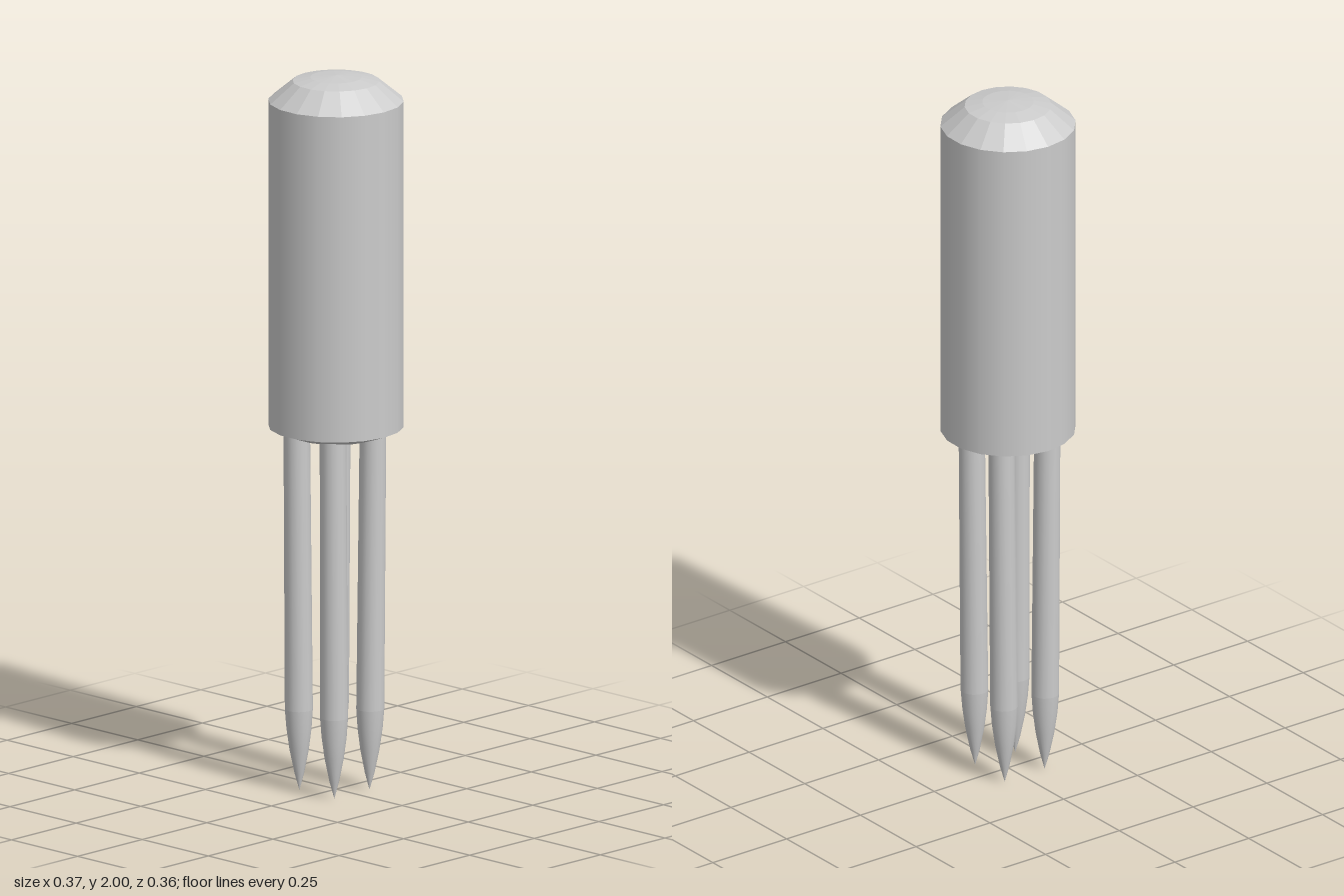
import * as THREE from 'three';

const SIDES = 18;
const smooth = new THREE.MeshStandardMaterial({ color: 0xcccccc });
const faceted = new THREE.MeshStandardMaterial({ color: 0xcccccc, flatShading: true });

// Revolve [radius, y] pairs listed from bottom to top
function lathe(name, points, sides, material) {
  const profile = points.map(([r, y]) => new THREE.Vector2(r, y));
  const mesh = new THREE.Mesh(new THREE.LatheGeometry(profile, sides, Math.PI / 2 - 0.015), material);
  mesh.name = name;
  return mesh;
}

// Straight shaft that leans slightly, with a curved point at the bottom
function makeProng(name, tip, top) {
  const group = new THREE.Group();
  group.name = name;
  const shaft = lathe('prongShaft', [[0.038, 0.23], [0.036, 1.01]], 16, smooth);
  const point = lathe('prongTip', [[0, 0.003], [0.013, 0.05], [0.026, 0.115], [0.034, 0.175], [0.038, 0.23]], 16, smooth);
  for (const part of [shaft, point]) {
    const pos = part.geometry.attributes.position;
    for (let i = 0; i < pos.count; i++) {
      const t = pos.getY(i);
      pos.setX(i, pos.getX(i) + THREE.MathUtils.lerp(tip[0], top[0], t));
      pos.setZ(i, pos.getZ(i) + THREE.MathUtils.lerp(tip[1], top[1], t));
    }
    group.add(part);
  }
  return group;
}

export function createModel() {
  const model = new THREE.Group();
  model.name = 'prongedCylinder';

  // Handle: smooth barrel closed by faceted caps
  model.add(lathe('barrel', [[0.184, 1.02], [0.184, 1.93]], SIDES, smooth));
  model.add(lathe('topDome', [[0.184, 1.93], [0.118, 1.985], [0.07, 1.995], [0, 2]], SIDES, faceted));
  model.add(lathe('bottomCap', [[0, 0.974], [0.035, 0.976], [0.118, 0.996], [0.184, 1.02]], SIDES, faceted));

  // Four prongs: tip [x, z] and top [x, z]
  model.add(makeProng('frontLeftProng', [0.067, 0.075], [0.067, 0.08]));
  model.add(makeProng('frontRightProng', [-0.065, 0.075], [-0.07, 0.08]));
  model.add(makeProng('backLeftProng', [0.068, -0.06], [0.074, -0.067]));
  model.add(makeProng('backRightProng', [-0.065, -0.06], [-0.064, -0.07]));
  return model;
}
